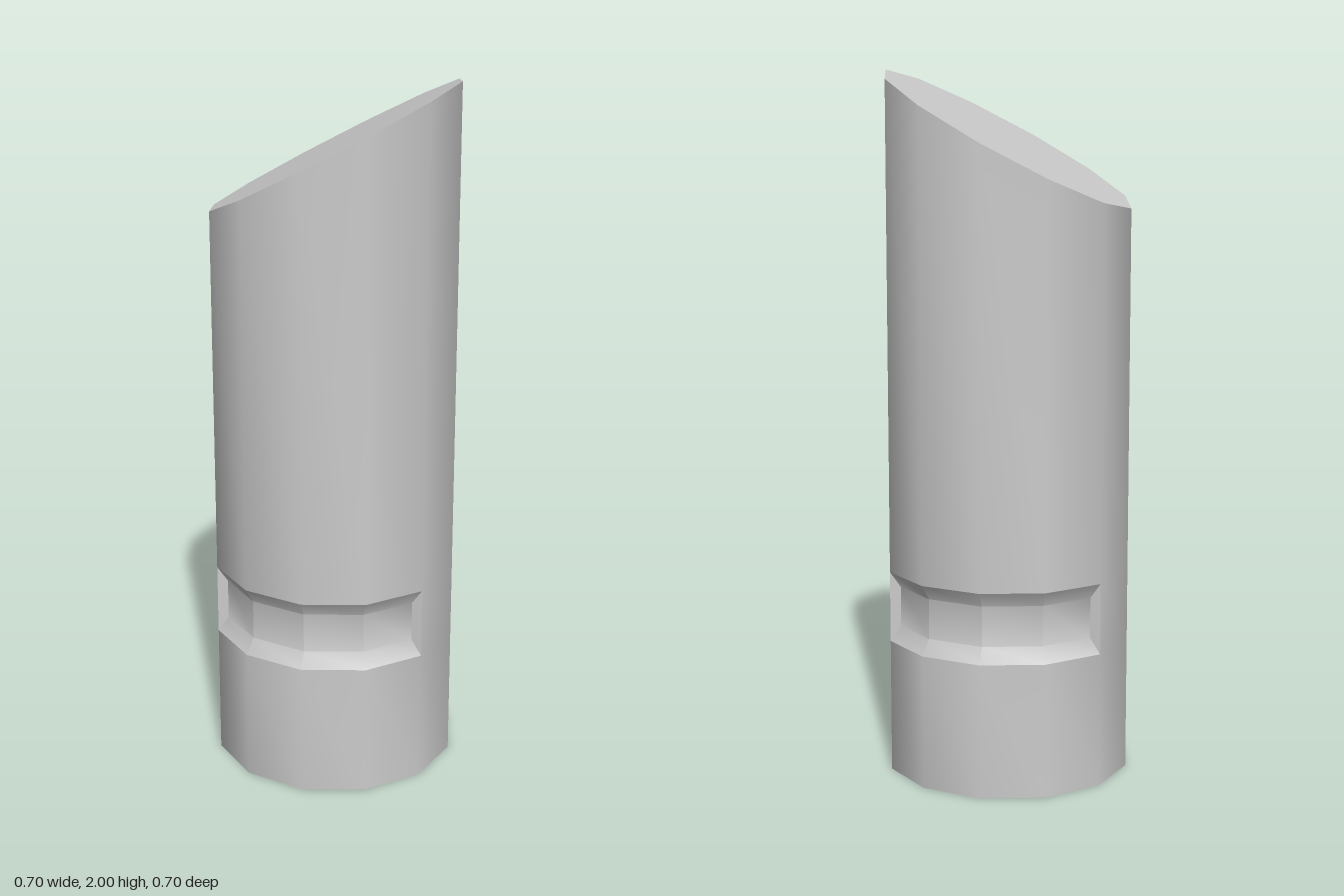
import * as THREE from 'three';
import { toCreasedNormals } from 'three/addons/utils/BufferGeometryUtils.js';

const SIDES = 12, R = 0.352, FLOOR_R = 0.325;
const LOW = 0.385, FLOOR_LOW = 0.43, FLOOR_HIGH = 0.545, HIGH = 0.588;

// point on the twelve-sided wall
function wall(k, y, r = R) {
  const a = (k / SIDES) * Math.PI * 2;
  return [r * Math.cos(a), y, r * Math.sin(a)];
}

// point on the slanted top rim
function rim(k) {
  const p = wall(k, 0);
  p[1] = 1.81 + 0.54 * p[0];
  return p;
}

// point on the recessed groove floor, pulled in slightly at the groove ends
function floor(k, y) {
  if (k % 6 === 1 || k % 6 === 5) {
    const [x, , z] = wall(k, y);
    return [Math.sign(x) * 0.275, y, Math.sign(z) * 0.17];
  }
  return wall(k, y, FLOOR_R);
}

function mesh(name, positions) {
  const geometry = new THREE.BufferGeometry();
  geometry.setAttribute('position', new THREE.Float32BufferAttribute(positions, 3));
  const material = new THREE.MeshStandardMaterial({ color: 0xcccccc });
  const m = new THREE.Mesh(toCreasedNormals(geometry, 0.6), material);
  m.name = name;
  return m;
}

export function createModel() {
  const body = [], grooves = [], caps = [];
  const tri = (out, ...points) => points.forEach((p) => out.push(...p));
  const quad = (out, a, b, c, d) => tri(out, a, b, c, a, c, d);
  // outward-facing panel of one side, between two height functions
  const panel = (out, k, lower, upper) =>
    quad(out, lower(k), upper(k), upper(k + 1), lower(k + 1));

  const base = (k) => wall(k, 0);
  const low = (k) => wall(k, LOW);
  const high = (k) => wall(k, HIGH);
  const floorLow = (k) => floor(k, FLOOR_LOW);
  const floorHigh = (k) => floor(k, FLOOR_HIGH);

  for (let k = 0; k < SIDES; k++) {
    panel(body, k, base, low);
    panel(body, k, high, rim);
    const s = k % 6;
    if (s === 0 || s === 5) {
      panel(body, k, low, high);
    } else {
      // bevelled groove across the front and back
      panel(grooves, k, low, floorLow);
      panel(grooves, k, floorLow, floorHigh);
      panel(grooves, k, floorHigh, high);
      // end walls of the groove
      if (s === 1) quad(grooves, low(k), high(k), floorHigh(k), floorLow(k));
      if (s === 4) quad(grooves, low(k + 1), floorLow(k + 1), floorHigh(k + 1), high(k + 1));
    }
    // flat bottom and slanted top
    tri(caps, [0, 0, 0], base(k), base(k + 1));
    tri(caps, [0, 1.81, 0], rim(k + 1), rim(k));
  }

  const group = new THREE.Group();
  group.name = 'slantedTube';
  group.add(mesh('body', body), mesh('grooves', grooves), mesh('endCaps', caps));
  return group;
}
